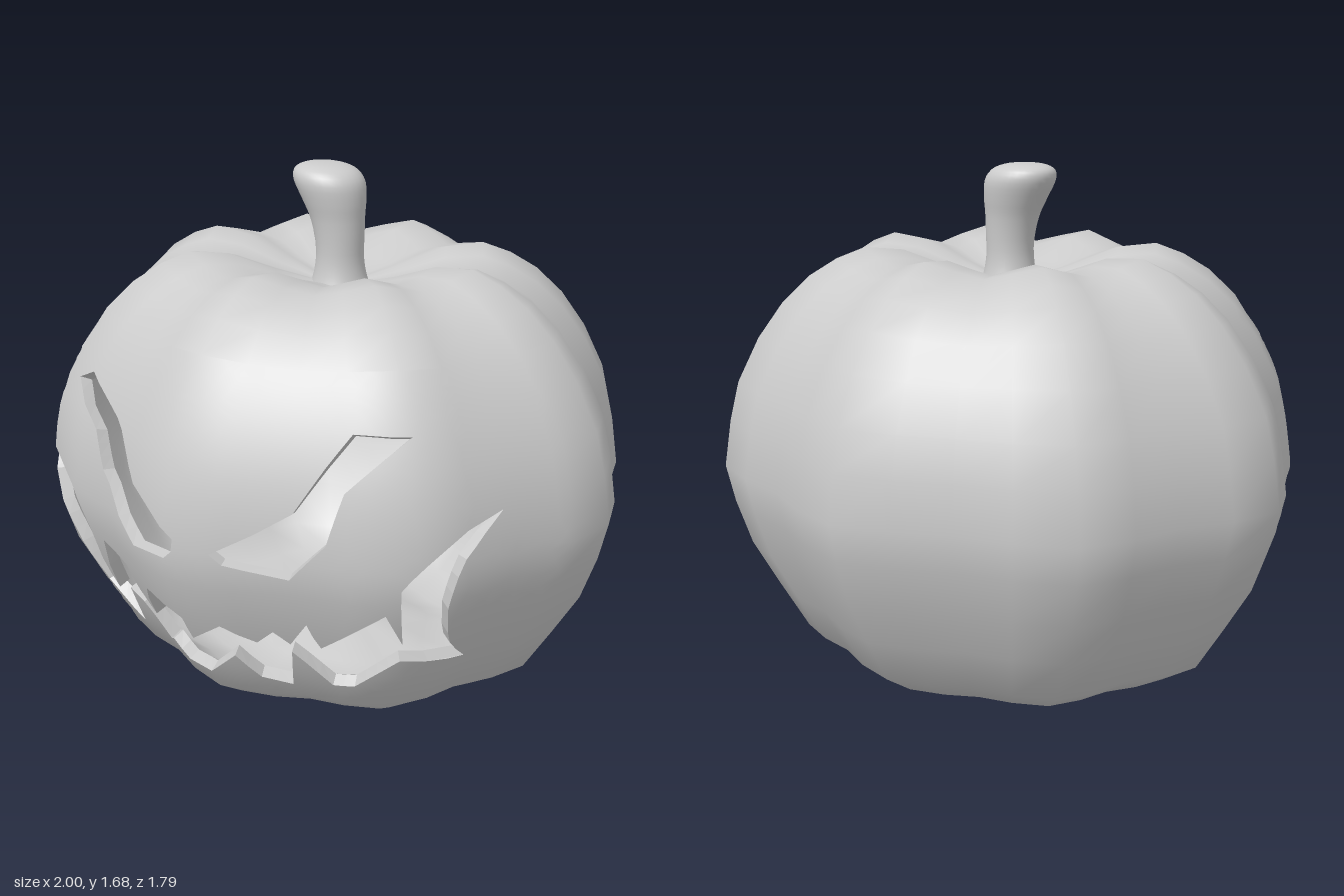
import * as THREE from 'three';
import { mergeVertices } from 'three/addons/utils/BufferGeometryUtils.js';

const COLS = 32, WALL = 0.04, DEPTH = 0.9;
// carved front panel, in grid cells
const U0 = -8, U1 = 8, V0 = 5, V1 = 13;

// half profile of a rib crest: [radius, height], bottom centre to top centre
const PROFILE = [
  [0, 0.09], [0.15, 0.075], [0.32, 0.03], [0.46, 0], [0.607, 0.045], [0.73, 0.118], [0.826, 0.27],
  [0.917, 0.42], [0.97, 0.567], [1, 0.69], [0.976, 0.845], [0.944, 0.973], [0.87, 1.118],
  [0.783, 1.235], [0.69, 1.32], [0.596, 1.375], [0.5, 1.41], [0.37, 1.4], [0.22, 1.345],
  [0.1, 1.31], [0, 1.3],
];
const ROWS = PROFILE.length - 1;

// face openings as seen from the front: [x, y]
const EYE_RIGHT = [[-0.575, 1.03], [-0.5, 1.065], [-0.286, 0.95], [-0.174, 0.83], [0.024, 0.72],
  [0.02, 0.68], [-0.013, 0.65], [-0.18, 0.626], [-0.377, 0.797], [-0.43, 0.91]];
const EYE_LEFT = [[0.64, 1.07], [0.49, 1.07], [0.355, 0.83], [0.254, 0.76], [0.136, 0.69],
  [0.17, 0.658], [0.345, 0.62], [0.46, 0.75], [0.5, 0.91]];
const MOUTH = [[-0.78, 0.824], [-0.548, 0.695], [-0.49, 0.556], [-0.45, 0.32], [-0.425, 0.53],
  [-0.32, 0.48], [-0.23, 0.316], [-0.174, 0.465], [-0.09, 0.44], [0, 0.43], [0.002, 0.342],
  [0.115, 0.42], [0.206, 0.364], [0.265, 0.417], [0.297, 0.365], [0.37, 0.46], [0.393, 0.37],
  [0.612, 0.535], [0.64, 0.43], [0.666, 0.63], [0.783, 0.79], [0.82, 0.818], [0.74, 0.54],
  [0.693, 0.294], [0.612, 0.353], [0.446, 0.21], [0.377, 0.2], [0.29, 0.33], [0.243, 0.171],
  [0.163, 0.198], [0.115, 0.289], [0, 0.187], [-0.13, 0.166], [-0.19, 0.225], [-0.243, 0.187],
  [-0.318, 0.316], [-0.366, 0.358], [-0.393, 0.193], [-0.548, 0.3], [-0.69, 0.572]];

// ribbed body at a grid corner; column 0 is the front
function corner(i, j) {
  const a = (i / COLS) * Math.PI * 2;
  const groove = (1 - Math.cos(8 * a)) / 2;
  const [r0, y0] = PROFILE[j];
  const r = r0 * (1 - 0.085 * groove);
  const top = Math.max(0, (y0 - 0.69) / 0.72) ** 2 * Math.min(1, r0 / 0.4);
  return new THREE.Vector3(r * Math.sin(a), y0 - 0.045 * groove * top, DEPTH * r * Math.cos(a));
}

// bilinear body surface
function surface(u, v) {
  const w = Math.min(Math.max(v, 0), ROWS);
  const i = Math.floor(u), j = Math.min(Math.floor(w), ROWS - 1);
  const low = corner(i, j).lerp(corner(i + 1, j), u - i);
  const high = corner(i, j + 1).lerp(corner(i + 1, j + 1), u - i);
  return low.lerp(high, w - j);
}

function surfaceNormal(u, v) {
  const du = surface(u + 1, v).sub(surface(u - 1, v));
  const dv = surface(u, v + 1).sub(surface(u, v - 1));
  const n = du.cross(dv);
  return n.length() < 1e-6 ? new THREE.Vector3(0, v > ROWS / 2 ? 1 : -1, 0) : n.normalize();
}

const offsetPoint = (p, d) => surface(p.x, p.y).addScaledVector(surfaceNormal(p.x, p.y), -d);

// root of a rising function
function bisect(f, target, lo, hi) {
  for (let k = 0; k < 30; k++) {
    const mid = (lo + hi) / 2;
    if (f(mid) < target) lo = mid; else hi = mid;
  }
  return (lo + hi) / 2;
}

// front-projected point to surface coordinates
function toSurface(x, y) {
  let u = 0, v = 9;
  for (let k = 0; k < 12; k++) {
    v = bisect((t) => surface(u, t).y, y, V0, V1);
    u = bisect((t) => surface(t, v).x, x, U0, U1);
  }
  return new THREE.Vector2(u, v);
}

// outline in short steps, laid on the surface
function layOutline(points) {
  const out = [];
  points.forEach(([x, y], k) => {
    const [x2, y2] = points[(k + 1) % points.length];
    const n = Math.ceil(Math.hypot(x2 - x, y2 - y) / 0.06);
    for (let s = 0; s < n; s++) out.push(toSurface(x + ((x2 - x) * s) / n, y + ((y2 - y) * s) / n));
  });
  return out;
}

// split triangles at their longest edge until all edges are short
function refine(triangles, maxEdge) {
  const done = [], stack = [...triangles];
  while (stack.length) {
    const t = stack.pop();
    const len = [0, 1, 2].map((k) => t[k].distanceTo(t[(k + 1) % 3]));
    const k = len.indexOf(Math.max(...len));
    if (len[k] <= maxEdge) { done.push(t); continue; }
    const a = t[k], b = t[(k + 1) % 3], c = t[(k + 2) % 3];
    const m = a.clone().add(b).multiplyScalar(0.5);
    stack.push([a, m, c], [m, b, c]);
  }
  return done;
}

// all body triangles in surface coordinates, openings left out
function bodyTriangles(holes) {
  const P = (u, v) => new THREE.Vector2(u, v);
  const tris = [];
  for (let i = U0; i < U0 + COLS; i++) for (let j = 0; j < ROWS; j++) {
    if (i < U1 && j >= V0 && j < V1) continue;
    tris.push([P(i, j), P(i + 1, j), P(i + 1, j + 1)], [P(i, j), P(i + 1, j + 1), P(i, j + 1)]);
  }
  const frame = [P(U0, V0), P(U1, V0), P(U1, V1), P(U0, V1)];
  const all = [...frame, ...holes.flat()];
  const panel = THREE.ShapeUtils.triangulateShape(frame, holes).map((f) => {
    const t = f.map((k) => all[k]);
    return THREE.ShapeUtils.area(t) < 0 ? t.reverse() : t;
  });
  return tris.concat(refine(panel, 0.5));
}

function sheet(triangles, depth, inward) {
  const pos = [], nor = [];
  for (const t of triangles) {
    for (const p of inward ? [t[0], t[2], t[1]] : t) {
      const n = surfaceNormal(p.x, p.y);
      pos.push(...surface(p.x, p.y).addScaledVector(n, -depth).toArray());
      nor.push(...n.multiplyScalar(inward ? -1 : 1).toArray());
    }
  }
  const g = new THREE.BufferGeometry();
  g.setAttribute('position', new THREE.Float32BufferAttribute(pos, 3));
  g.setAttribute('normal', new THREE.Float32BufferAttribute(nor, 3));
  return g;
}

// cut wall of an opening, from outer to inner skin
function cutWall(ring) {
  const pos = [];
  ring.forEach((p, k) => {
    const q = ring[(k + 1) % ring.length];
    const [a, b, c, d] = [offsetPoint(p, 0), offsetPoint(q, 0), offsetPoint(q, WALL), offsetPoint(p, WALL)];
    for (const w of [a, b, c, a, c, d]) pos.push(...w.toArray());
  });
  const g = new THREE.BufferGeometry();
  g.setAttribute('position', new THREE.Float32BufferAttribute(pos, 3));
  g.computeVertexNormals();
  return g;
}

// turned stem, leaning to the right near the top
function stemGeometry() {
  const pts = [[0.1, 1.28], [0.084, 1.33], [0.077, 1.4], [0.088, 1.5], [0.104, 1.56], [0.118, 1.62],
    [0.107, 1.655], [0.075, 1.672], [0.035, 1.678], [0, 1.679]].map((p) => new THREE.Vector2(...p));
  const curve = new THREE.SplineCurve(pts).getPoints(27);
  curve.forEach((p) => { p.x = Math.max(p.x, 0); });
  let g = new THREE.LatheGeometry(curve, 32);
  const p = g.attributes.position;
  for (let k = 0; k < p.count; k++) {
    const t = Math.max(0, (p.getY(k) - 1.4) / 0.27);
    p.setX(k, p.getX(k) + 0.007 - 0.06 * t * t);
    p.setZ(k, p.getZ(k) * (1 - 0.13 * Math.min(1, t)));
  }
  g.deleteAttribute('uv');
  g.deleteAttribute('normal');
  g = mergeVertices(g, 1e-4);
  g.computeVertexNormals();
  return g;
}

export function createModel() {
  const group = new THREE.Group();
  group.name = 'carvedPumpkin';
  const skin = new THREE.MeshStandardMaterial({ color: 0xcccccc });
  const cut = new THREE.MeshStandardMaterial({ color: 0xcccccc, side: THREE.DoubleSide });
  const add = (name, geometry, material = skin) => {
    const mesh = new THREE.Mesh(geometry, material);
    mesh.name = name;
    group.add(mesh);
  };
  const holes = [EYE_RIGHT, EYE_LEFT, MOUTH].map(layOutline);
  const triangles = bodyTriangles(holes);
  add('outerSkin', sheet(triangles, 0, false));
  add('innerSkin', sheet(triangles, WALL, true));
  ['rightEyeCut', 'leftEyeCut', 'mouthCut'].forEach((name, k) => add(name, cutWall(holes[k]), cut));
  add('stem', stemGeometry());
  return group;
}
